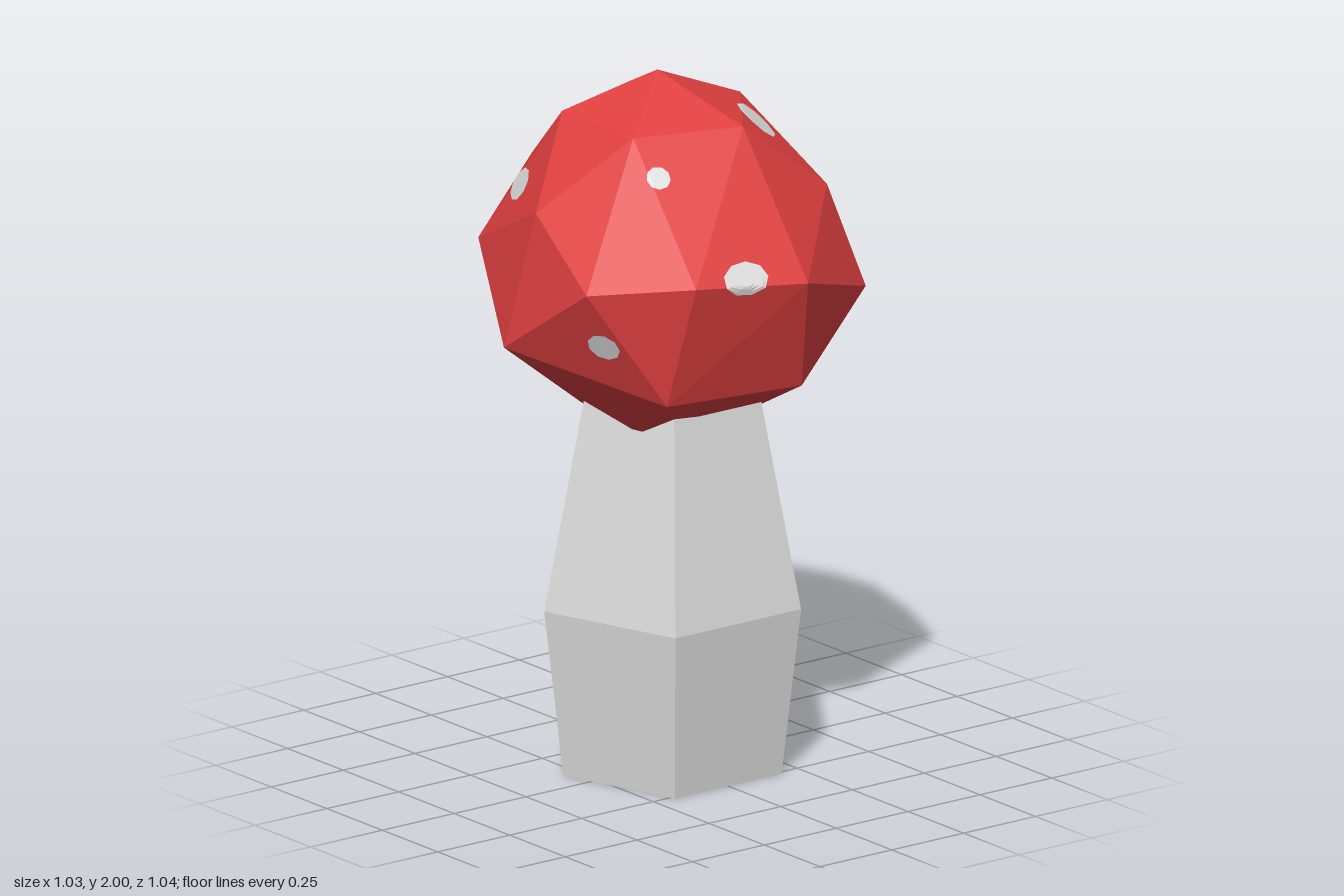
import * as THREE from 'three';
import { ConvexGeometry } from 'three/addons/geometries/ConvexGeometry.js';

const CENTRE = new THREE.Vector3(0, 1.5, 0);

// Corners of the faceted cap, ring by ring from the top down
const CAP_RINGS = [
  [[-0.02, 2, -0.03]],
  [[0.26, 1.885, -0.02], [0.075, 1.885, -0.28], [-0.235, 1.885, -0.18], [-0.235, 1.885, 0.14], [0.07, 1.885, 0.24]],
  [[0.34, 1.67, -0.27], [-0.14, 1.68, -0.44], [-0.45, 1.67, -0.02], [0.35, 1.67, 0.255]],
  [[0.515, 1.5, -0.08], [0.075, 1.5, -0.52], [-0.38, 1.5, -0.37], [-0.475, 1.5, 0.24], [-0.26, 1.53, 0.455], [0.08, 1.5, 0.52]],
  [[0.435, 1.375, 0.32], [0.36, 1.28, -0.365], [-0.515, 1.28, -0.08]],
  [[0.435, 1.17, 0.15], [0.135, 1.17, 0.42], [-0.28, 1.17, 0.35], [-0.276, 1.17, -0.38], [0.2, 1.09, -0.31]],
  [[0.2, 1.03, 0.14], [-0.18, 1.01, 0.1], [-0.15, 1.02, -0.2], [0.2, 1.03, -0.2]],
];

// Spots: position, half width, half height
const SPOTS = [
  [0.2, 1.85, 0.13, 0.062, 0.07],
  [-0.085, 1.745, -0.375, 0.045, 0.05],
  [-0.34, 1.68, -0.23, 0.062, 0.048],
  [-0.22, 1.79, 0.235, 0.033, 0.035],
  [-0.1, 1.535, 0.47, 0.07, 0.045],
  [-0.42, 1.335, 0.24, 0.05, 0.042],
  [0.47, 1.285, -0.11, 0.078, 0.055],
  [-0.094, 1.36, -0.436, 0.068, 0.048],
  [0.25, 1.12, 0.31, 0.028, 0.022],
  [-0.05, 1.1, -0.3, 0.025, 0.02],
];

function flat(geometry) {
  const g = geometry.index ? geometry.toNonIndexed() : geometry;
  g.computeVertexNormals();
  return g;
}

// A thin patch laid over the cap's facets
function spotGeometry(cap, [x, y, z, a, b]) {
  const n = new THREE.Vector3(x, y, z).sub(CENTRE).normalize();
  const u = new THREE.Vector3(0, 1, 0).cross(n).normalize();
  const v = n.clone().cross(u);
  const g = new THREE.RingGeometry(0.001, 1, 9, 5);
  const pos = g.attributes.position;
  const ray = new THREE.Raycaster();
  for (let i = 0; i < pos.count; i++) {
    const start = new THREE.Vector3(x, y, z)
      .addScaledVector(u, pos.getX(i) * a)
      .addScaledVector(v, pos.getY(i) * b)
      .addScaledVector(n, 0.6);
    ray.set(start, n.clone().negate());
    const hit = ray.intersectObject(cap)[0];
    const p = hit ? hit.point : start.addScaledVector(n, -0.6);
    p.addScaledVector(n, 0.005);
    pos.setXYZ(i, p.x, p.y, p.z);
  }
  return flat(g);
}

export function createModel() {
  const group = new THREE.Group();
  const material = (name, color) => {
    const m = new THREE.MeshStandardMaterial({ color });
    m.name = name;
    return m;
  };
  const red = material('capRed', 0xe04040);
  const white = material('paleGrey', 0xdedede);
  const add = (name, geometry, mat) => {
    const mesh = new THREE.Mesh(geometry, mat);
    mesh.name = name;
    group.add(mesh);
    return mesh;
  };

  // Five-sided stem: flares to a belly, then tapers into the cap
  const lower = new THREE.CylinderGeometry(0.372, 0.316, 0.48, 5, 1, false, Math.PI);
  add('lowerStem', flat(lower.translate(0, 0.24, 0.008)), white);
  const upper = new THREE.CylinderGeometry(0.236, 0.372, 0.7, 5, 1, true, Math.PI);
  add('upperStem', flat(upper.translate(0, 0.83, 0.008)), white);

  // Faceted cap
  const corners = CAP_RINGS.flat().map((p) => new THREE.Vector3(...p));
  const cap = add('cap', flat(new ConvexGeometry(corners)), red);

  // Scattered spots
  SPOTS.forEach((s, i) => add(`spot${i + 1}`, spotGeometry(cap, s), white));

  return group;
}
